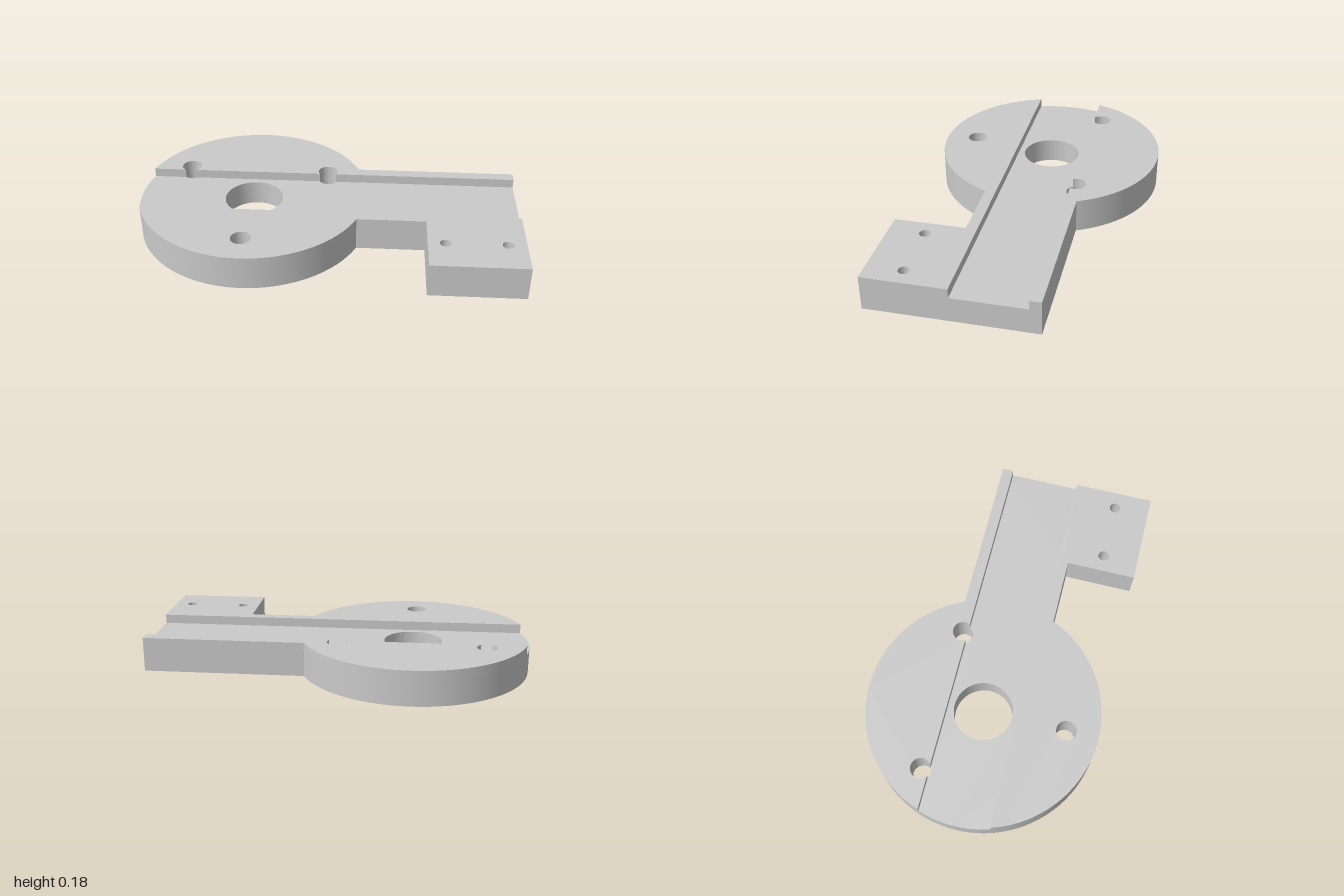
import * as THREE from 'three';
import { toCreasedNormals } from 'three/addons/utils/BufferGeometryUtils.js';

// Plan shapes are drawn in (x, -z) and extruded upward.
const CX = -0.395, R = 0.605;          // round flange
const GROOVE_Y = 0.132, TOP_Y = 0.18;  // channel floor and top face
const ARM_BACK = 0.245, ARM_FRONT = -0.24;
const GROOVE_BACK = 0.187, GROOVE_FRONT = -0.183;
const TAB_X = 0.515;

const BORE = [CX, 0.002, 0.153];
const BACK_HOLES = [[-0.77, 0.23, 0.052], [-0.01, 0.213, 0.052]];
const FRONT_HOLES = [[-0.405, -0.437, 0.052], [0.603, -0.42, 0.028], [0.907, -0.42, 0.028]];

const angleAt = (v) => Math.asin(v / R);

function punch(shape, holes) {
  for (const [x, v, r] of holes) {
    shape.holes.push(new THREE.Path().absarc(x, v, r, 0, Math.PI * 2, true));
  }
}

function slab(name, shape, y0, y1, material) {
  const extruded = new THREE.ExtrudeGeometry(shape, { depth: y1 - y0, bevelEnabled: false, curveSegments: 64 });
  extruded.rotateX(-Math.PI / 2).translate(0, y0, 0);
  const mesh = new THREE.Mesh(toCreasedNormals(extruded, Math.PI / 6), material);
  mesh.name = name;
  return mesh;
}

// Flange arc from startAngle round to the arm, then the tab and the arm's end face up to endV
function flangeAndTab(startAngle, endV) {
  const shape = new THREE.Shape();
  shape.absarc(CX, 0, R, startAngle, Math.PI * 2 + angleAt(ARM_FRONT), false);
  shape.lineTo(TAB_X, ARM_FRONT);
  shape.lineTo(TAB_X, -R);
  shape.lineTo(1, -R);
  shape.lineTo(1, endV);
  shape.closePath();
  return shape;
}

export function createModel() {
  const group = new THREE.Group();
  group.name = 'mountingBracket';
  const metal = new THREE.MeshStandardMaterial({ color: 0xcacaca });
  metal.name = 'plain grey';

  // Full plate up to the channel floor
  const base = flangeAndTab(angleAt(ARM_BACK), ARM_BACK);
  punch(base, [BORE, ...BACK_HOLES, ...FRONT_HOLES]);
  group.add(slab('basePlate', base, 0, GROOVE_Y, metal));

  // Raised land in front of the channel, including the tab
  const front = flangeAndTab(Math.PI - angleAt(GROOVE_FRONT), GROOVE_FRONT);
  punch(front, FRONT_HOLES);
  group.add(slab('frontLand', front, GROOVE_Y, TOP_Y, metal));

  // Raised land behind the channel; its two holes break through the channel wall
  const back = new THREE.Shape();
  back.moveTo(1, GROOVE_BACK);
  back.lineTo(1, ARM_BACK);
  back.absarc(CX, 0, R, angleAt(ARM_BACK), Math.PI - angleAt(GROOVE_BACK), false);
  for (const [x, v, r] of BACK_HOLES) {
    const t = Math.asin((v - GROOVE_BACK) / r);
    back.absarc(x, v, r, Math.PI + t, -t, true);
  }
  back.closePath();
  group.add(slab('backLand', back, GROOVE_Y, TOP_Y, metal));

  return group;
}
